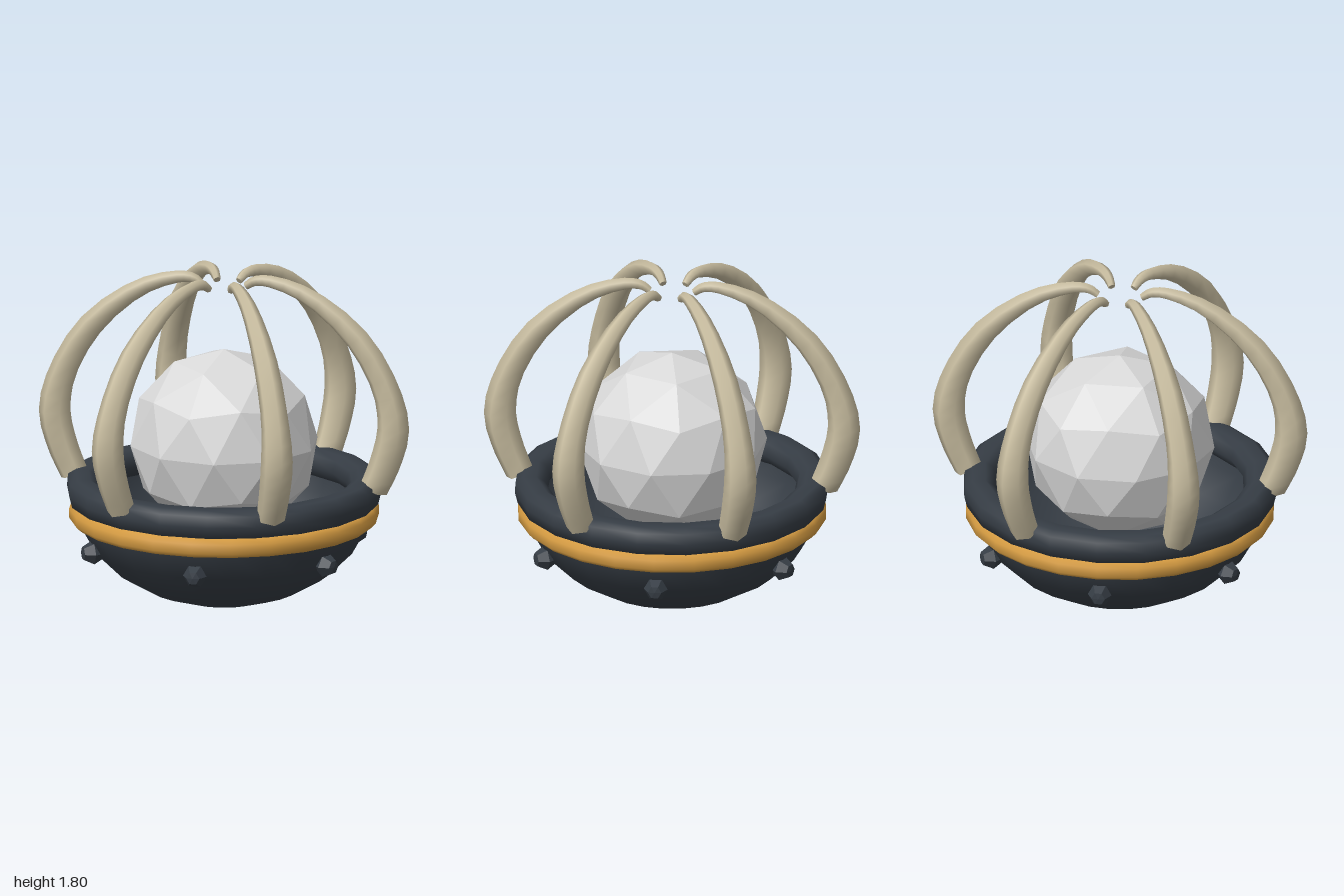
import * as THREE from 'three';
import { toCreasedNormals } from 'three/addons/utils/BufferGeometryUtils.js';

const material = (name, color, options = {}) => {
  const m = new THREE.MeshStandardMaterial({ color, ...options });
  m.name = name;
  return m;
};

const lathe = (points, segments) =>
  new THREE.LatheGeometry(points.map(([r, y]) => new THREE.Vector2(r, y)), segments);

// Curved, tapering six-sided claw in the xy plane, with flat end caps
function clawGeometry() {
  // Each entry: distance from axis, height, thickness radius
  const path = new THREE.CatmullRomCurve3([
    [0.81, 0.665, 0.076], [0.875, 0.82, 0.083], [0.916, 1.0, 0.086], [0.876, 1.21, 0.074],
    [0.72, 1.48, 0.065], [0.46, 1.695, 0.046], [0.25, 1.768, 0.033],
    [0.165, 1.765, 0.027], [0.118, 1.735, 0.02],
  ].map((p) => new THREE.Vector3(...p)));
  const rings = 20, sides = 6, positions = [], index = [];
  for (let i = 0; i <= rings; i++) {
    const p = path.getPoint(i / rings), t = path.getTangent(i / rings);
    const len = Math.hypot(t.x, t.y), nx = t.y / len, ny = -t.x / len;
    for (let j = 0; j < sides; j++) {
      const a = (j / sides) * Math.PI * 2, c = Math.cos(a) * p.z;
      positions.push(p.x + c * nx, p.y + c * ny, Math.sin(a) * p.z);
    }
  }
  for (let i = 0; i < rings; i++) {
    for (let j = 0; j < sides; j++) {
      const k = (j + 1) % sides;
      const a = i * sides + j, c = i * sides + k, b = a + sides, d = c + sides;
      index.push(a, b, c, b, d, c);
    }
  }
  const last = rings * sides;
  for (let j = 1; j < sides - 1; j++) {
    index.push(0, j, j + 1, last, last + j + 1, last + j);
  }
  const g = new THREE.BufferGeometry();
  g.setAttribute('position', new THREE.Float32BufferAttribute(positions, 3));
  g.setIndex(index);
  return toCreasedNormals(g, 1.2);
}

export function createModel() {
  const model = new THREE.Group();
  model.name = 'clawedOrbBowl';
  const iron = material('darkIron', 0x363d45);
  const bowlIron = material('darkIronBowl', 0x363d45, { side: THREE.DoubleSide });
  const studIron = material('darkIronStud', 0x363d45, { flatShading: true });
  const gold = material('gold', 0xd69c42);
  const bone = material('bone', 0xc8bda0);
  const crystal = material('paleCrystal', 0xd8d8d8, { flatShading: true });

  const add = (name, geometry, mat, angle = 0) => {
    const mesh = new THREE.Mesh(geometry, mat);
    mesh.name = name;
    mesh.rotation.y = angle;
    model.add(mesh);
    return mesh;
  };

  // Open half-bowl
  const bowl = new THREE.SphereGeometry(0.8, 24, 6, 0, Math.PI * 2, Math.PI / 2, Math.PI / 2);
  bowl.scale(1, 0.75, 1).translate(0, 0.605, 0);
  add('bowl', bowl, bowlIron);

  // Thick rounded lip and the gold band below it
  add('rim', lathe([[0.78, 0.55], [0.82, 0.56], [0.835, 0.62], [0.83, 0.68], [0.79, 0.705],
    [0.72, 0.705], [0.68, 0.68], [0.66, 0.62], [0.70, 0.56], [0.78, 0.55]], 20), iron);
  add('goldBand', lathe([[0.74, 0.45], [0.795, 0.45], [0.82, 0.475], [0.82, 0.525],
    [0.795, 0.553], [0.74, 0.553]], 24), gold);

  // Faceted orb, one vertex pointing straight up
  const orb = new THREE.IcosahedronGeometry(0.505, 1);
  orb.rotateZ(-Math.atan(2 / (1 + Math.sqrt(5)))).translate(0, 0.88, 0);
  add('orb', orb, crystal);

  // Six claws and, between them, six studs
  const claw = clawGeometry();
  const stud = lathe([[0, -0.058], [0.036, -0.053], [0.064, 0], [0.036, 0.053], [0, 0.058]], 6);
  stud.rotateZ(-Math.PI / 2).translate(0.73, 0.33, 0);
  for (let i = 0; i < 6; i++) {
    const angle = (i * Math.PI) / 3;
    add('claw', claw, bone, angle + Math.PI / 6);
    add('stud', stud, studIron, angle);
  }
  return model;
}
